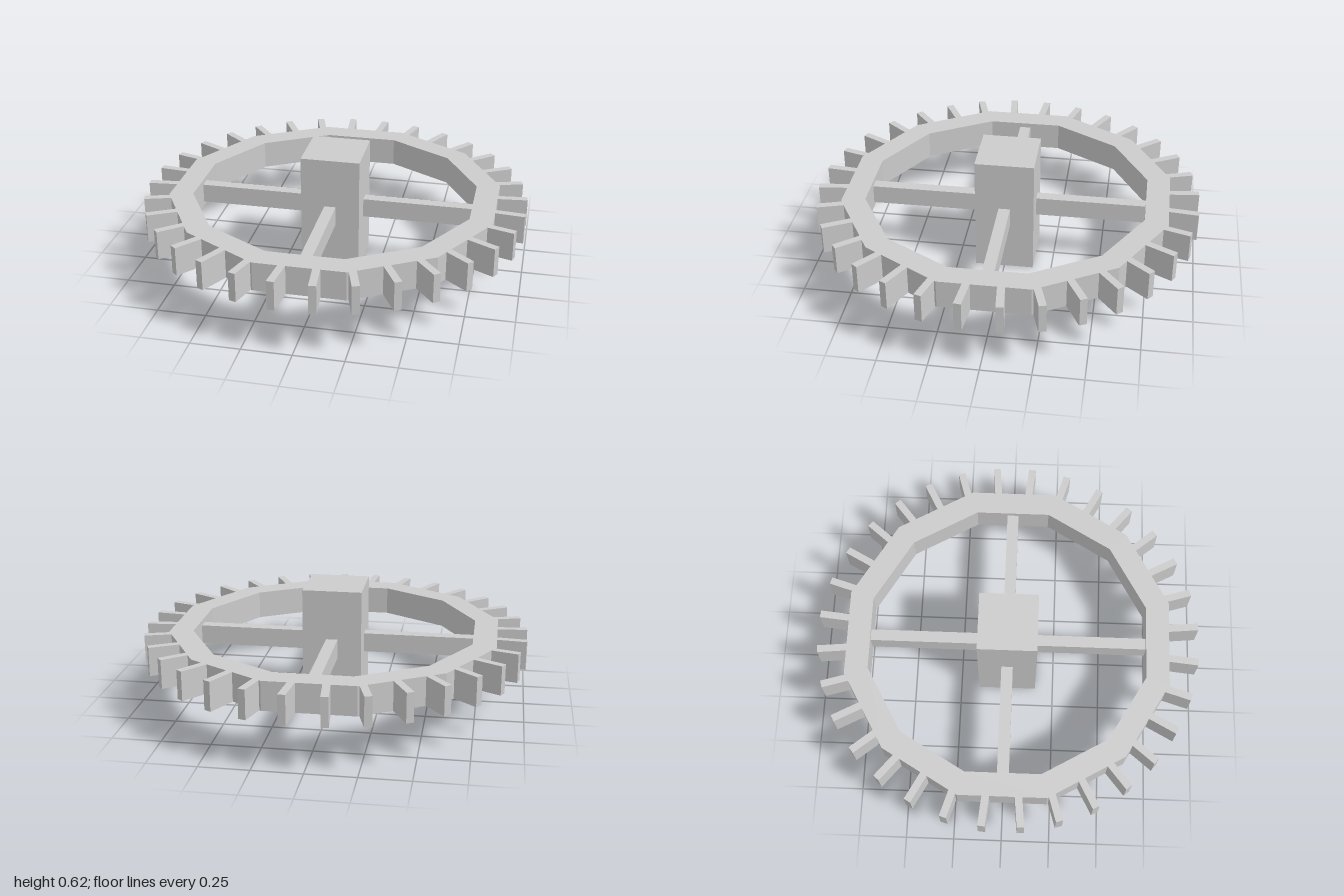
import * as THREE from 'three';

const MID = 0.309; // height of the wheel's middle plane
const THICK = 0.15; // thickness of rim and teeth

export function createModel() {
  const group = new THREE.Group();
  const material = new THREE.MeshStandardMaterial({ color: 0xcccccc, flatShading: true });

  const add = (name, geometry) => {
    const mesh = new THREE.Mesh(geometry, material);
    mesh.name = name;
    group.add(mesh);
    return mesh;
  };

  // Regular twelve-sided outline with flats facing the axes
  const dodecagon = (apothem) => {
    const r = apothem / Math.cos(Math.PI / 12);
    return Array.from({ length: 12 }, (_, i) => {
      const a = Math.PI / 12 + (i * Math.PI) / 6;
      return new THREE.Vector2(r * Math.cos(a), r * Math.sin(a));
    });
  };

  // Rim: twelve-sided ring
  const ring = new THREE.Shape(dodecagon(0.846));
  ring.holes.push(new THREE.Path(dodecagon(0.725)));
  const rim = new THREE.ExtrudeGeometry(ring, { depth: THICK, bevelEnabled: false });
  rim.rotateX(-Math.PI / 2);
  add('rim', rim).position.y = MID - THICK / 2;

  // Hub: square block
  add('hub', new THREE.BoxGeometry(0.306, 0.618, 0.306)).position.y = MID;

  // Radial bar from one radius to another, at an angle about the axle
  const radialBar = (name, inner, outer, height, width, angle) => {
    const geometry = new THREE.BoxGeometry(outer - inner, height, width);
    geometry.translate((inner + outer) / 2, 0, 0);
    const bar = add(name, geometry);
    bar.position.y = MID;
    bar.rotation.y = angle;
  };

  // Four spokes joining hub and rim
  for (let i = 0; i < 4; i++) radialBar('spoke', 0.14, 0.74, 0.1, 0.06, (i * Math.PI) / 2);

  // Thin teeth spaced evenly around the rim
  for (let i = 0; i < 32; i++) {
    radialBar('tooth', 0.82, 1.003, THICK, 0.038, ((i + 0.5) * Math.PI) / 16);
  }

  return group;
}
